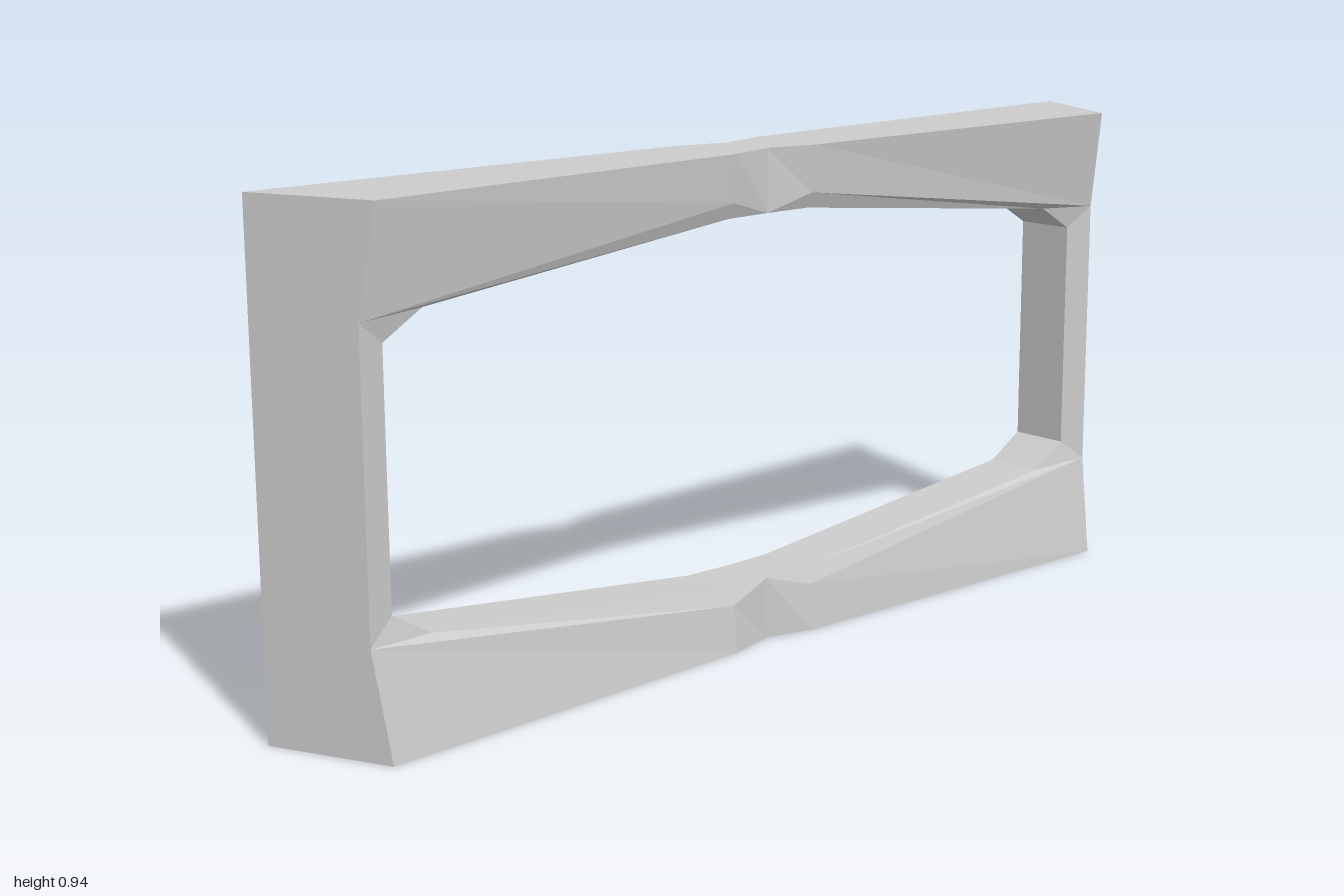
import * as THREE from 'three';

// Each station: outer -x, crease -x, inner -x, inner +x, crease +x, outer +x.
// Given for the upper, front quarter; y is measured from mid-height.
const H = 0.47;
const quarter = [
  // pinched middle of the rail
  [[-0.055, H, 0], [-0.055, 0.35, 0], [-0.055, 0.35, 0], [0.055, 0.35, 0], [0.055, 0.35, 0], [0.055, H, 0]],
  // shoulder beside the pinch
  [[-0.08, H, 0.1], [-0.071, 0.38, 0.1], [-0.058, 0.35, 0.1], [0.058, 0.35, 0.1], [0.071, 0.38, 0.1], [0.08, H, 0.1]],
  // corner, with the slanted end
  [[-0.113, H, 1], [-0.09, 0.272, 0.938], [-0.06, 0.278, 0.78], [0.06, 0.278, 0.78], [0.076, 0.272, 0.915], [0.11, H, 0.9]],
  // top of the upright
  [[-0.113, 0.272, 1], [-0.09, 0.272, 0.938], [-0.06, 0.23, 0.86], [0.06, 0.23, 0.86], [0.076, 0.272, 0.915], [0.076, 0.272, 0.915]],
];

// Adds the reflected stations in reverse so the path carries on around the ring
const withMirror = (stations, axis) => [
  ...stations,
  ...stations.map((s) => s.map((p) => p.map((v, i) => (i === axis ? -v : v)))).reverse(),
];

function ringGeometry(stations) {
  const positions = [];
  const triangle = (a, b, c) => {
    const [p, q, r] = [a, b, c].map((v) => new THREE.Vector3(...v));
    const area = q.clone().sub(p).cross(r.clone().sub(p)).length();
    if (area > 1e-7) positions.push(...a, ...b, ...c);
  };
  stations.forEach((s, i) => {
    const t = stations[(i + 1) % stations.length];
    for (let k = 0; k < 6; k++) {
      const n = (k + 1) % 6;
      triangle(s[k], t[n], t[k]);
      triangle(s[k], s[n], t[n]);
    }
  });
  const geometry = new THREE.BufferGeometry();
  geometry.setAttribute('position', new THREE.Float32BufferAttribute(positions, 3));
  geometry.computeVertexNormals();
  return geometry;
}

export function createModel() {
  const group = new THREE.Group();
  group.name = 'taperedFrame';
  const material = new THREE.MeshStandardMaterial({ color: 0xcccccc, flatShading: true });

  // Closed rectangular frame with tapered rails and slanted ends
  const frame = new THREE.Mesh(ringGeometry(withMirror(withMirror(quarter, 1), 2)), material);
  frame.name = 'frame';
  frame.position.y = H;
  group.add(frame);
  return group;
}
